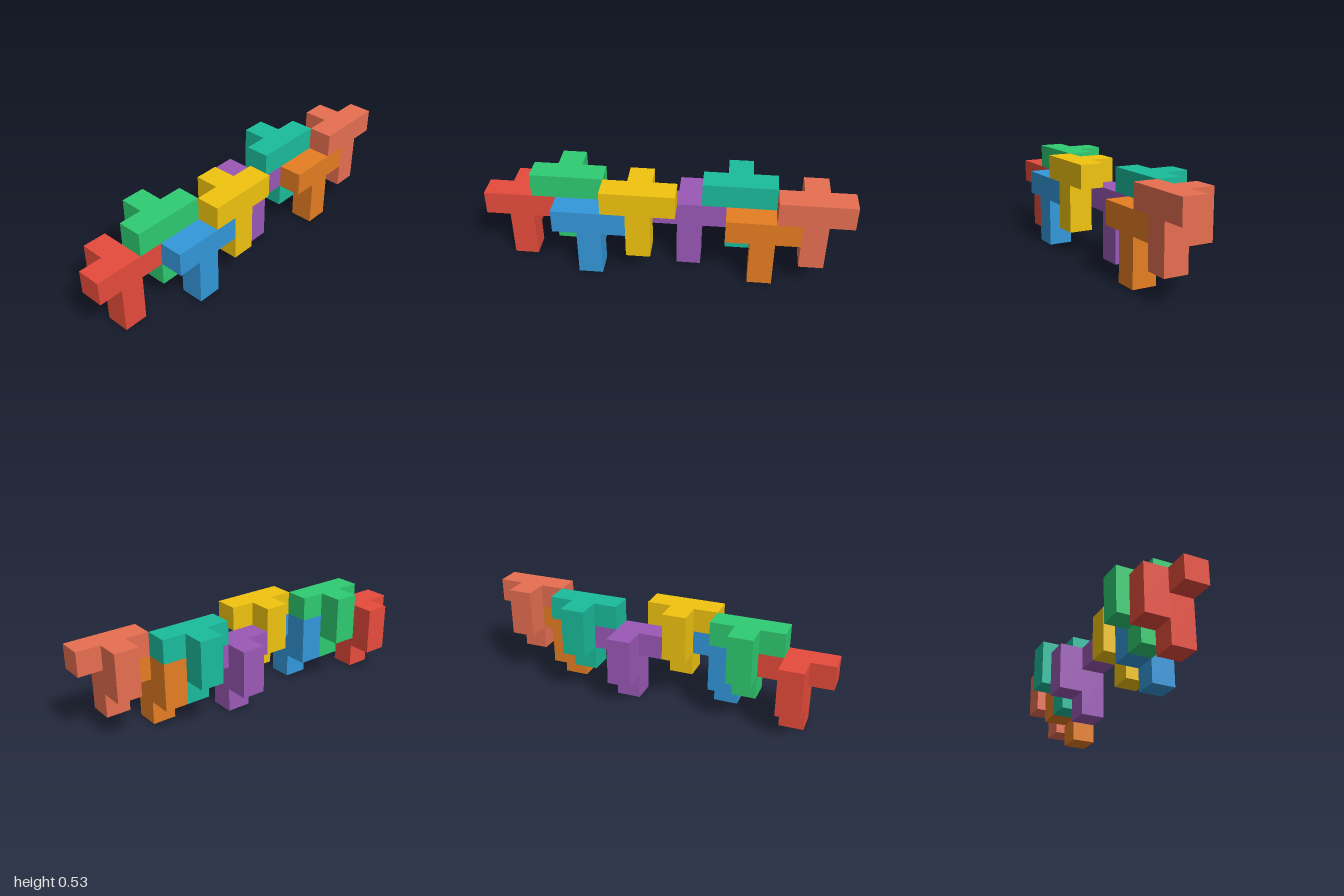
import * as THREE from 'three';
import { mergeGeometries } from 'three/addons/utils/BufferGeometryUtils.js';

const U = 2 / 15; // edge of one cube cell

// T plate (three-wide bar, two-cell stem) with a two-cell block behind the stem.
// Origin: bottom of the stem, centred on x, centred on the plate's depth.
function pieceGeometry() {
  const outline = [[-0.5, 0], [0.5, 0], [0.5, 2], [1.5, 2], [1.5, 3], [-1.5, 3], [-1.5, 2], [-0.5, 2]];
  const shape = new THREE.Shape(outline.map(([x, y]) => new THREE.Vector2(x * U, y * U)));
  const plate = new THREE.ExtrudeGeometry(shape, { depth: U, bevelEnabled: false });
  plate.translate(0, 0, -U / 2);
  const block = new THREE.BoxGeometry(U, 2 * U, U).toNonIndexed();
  block.translate(0, 2 * U, -U);
  return mergeGeometries([plate, block]);
}

// name, colour, stem column (0-14), bottom row, plate layer (0 = middle, 1 = front)
const PIECES = [
  ['redPiece', 0xe74c3c, 1, 0, 0],
  ['greenPiece', 0x2ecc71, 3, 1, 0],
  ['bluePiece', 0x3498db, 4, 0, 1],
  ['yellowPiece', 0xf1c40f, 6, 1, 1],
  ['purplePiece', 0x9b59b6, 8, 0, 0],
  ['tealPiece', 0x1abc9c, 10, 1, 0],
  ['orangePiece', 0xe67e22, 11, 0, 1],
  ['salmonPiece', 0xe76f51, 13, 1, 1],
];

export function createModel() {
  const model = new THREE.Group();
  model.name = 'interlockingPieces';
  const geometry = pieceGeometry();
  for (const [name, color, column, row, layer] of PIECES) {
    const piece = new THREE.Mesh(geometry, new THREE.MeshStandardMaterial({ color }));
    piece.name = name;
    piece.position.set((column - 7) * U, row * U, layer * U);
    model.add(piece);
  }
  return model;
}
